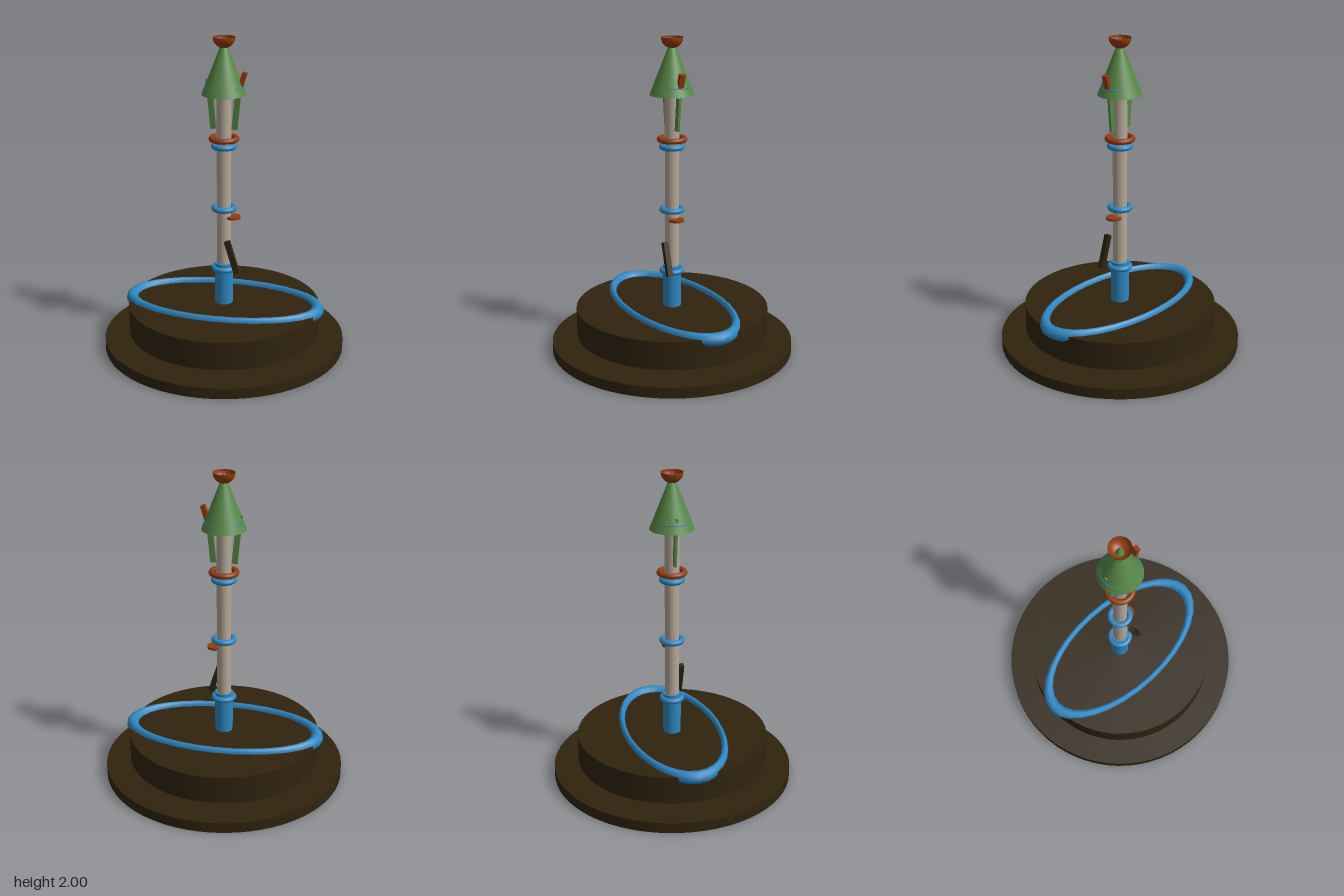
import * as THREE from 'three';

const mat = (name, color, side = THREE.FrontSide) => {
  const m = new THREE.MeshStandardMaterial({ color, side });
  m.name = name;
  return m;
};

export function createModel() {
  const group = new THREE.Group();
  const dark = mat('dark brown', 0x30230f);
  const blue = mat('blue', 0x2e86c1);
  const green = mat('green', 0x588748);
  const stone = mat('warm grey', 0xb5a898);
  const rust = mat('rust', 0x943c12, THREE.DoubleSide);

  const add = (name, geometry, material, x = 0, y = 0, z = 0) => {
    const mesh = new THREE.Mesh(geometry, material);
    mesh.name = name;
    mesh.position.set(x, y, z);
    group.add(mesh);
    return mesh;
  };
  // upright cylinder between two heights
  const post = (name, r, y0, y1, material, x = 0, sides = 32) =>
    add(name, new THREE.CylinderGeometry(r, r, y1 - y0, sides), material, x, (y0 + y1) / 2);
  // horizontal ring, optionally squashed front to back
  const ring = (name, radius, tube, y, material, squash = 1, segments = 32) => {
    const g = new THREE.TorusGeometry(radius, tube, 12, segments);
    g.rotateX(Math.PI / 2).scale(1, 1, squash);
    return add(name, g, material, 0, y);
  };
  const bar = (name, w, h, d, material, x, y, z, tilt) => {
    const mesh = add(name, new THREE.BoxGeometry(w, h, d), material, x, y, z);
    mesh.rotation.z = tilt;
    return mesh;
  };

  // base: wide plate, floating drum and its hub
  post('basePlate', 0.77, 0, 0.068, dark, 0, 64);
  post('drum', 0.612, 0.106, 0.285, dark, 0, 64);
  post('drumHub', 0.057, 0.1, 0.15, dark);
  ring('ovalRail', 0.61, 0.04, 0.276, blue, 0.5, 32);

  // column with sleeve and collars
  post('sleeve', 0.057, 0.2, 0.555, blue);
  post('column', 0.045, 0.2, 1.7, stone);
  for (const y of [0.52, 0.922, 1.325]) ring('collar', 0.062, 0.018, y, blue);
  ring('upperCollar', 0.077, 0.018, 1.372, rust);

  // fittings on the column
  post('sideDisc', 0.048, 0.858, 0.873, rust, 0.058, 24);
  bar('lever', 0.034, 0.218, 0.034, dark, 0.067, 0.62, 0.07, 0.296);

  // roof, struts and trim
  add('roof', new THREE.ConeGeometry(0.138, 0.35, 32), green, 0, 1.825);
  ring('roofTrim', 0.119, 0.003, 1.7, blue, 0.95, 48);
  for (const s of [-1, 1]) bar('strut', 0.036, 0.31, 0.016, green, s * 0.081, 1.587, 0, -s * 0.095);
  bar('chimney', 0.028, 0.09, 0.036, rust, 0.116, 1.747, 0, -0.3);

  // open bowl around the tip of the roof
  add('finialBowl', new THREE.SphereGeometry(0.068, 32, 12, 0, Math.PI * 2, Math.PI / 2, Math.PI / 2), rust, 0, 2);

  return group;
}
